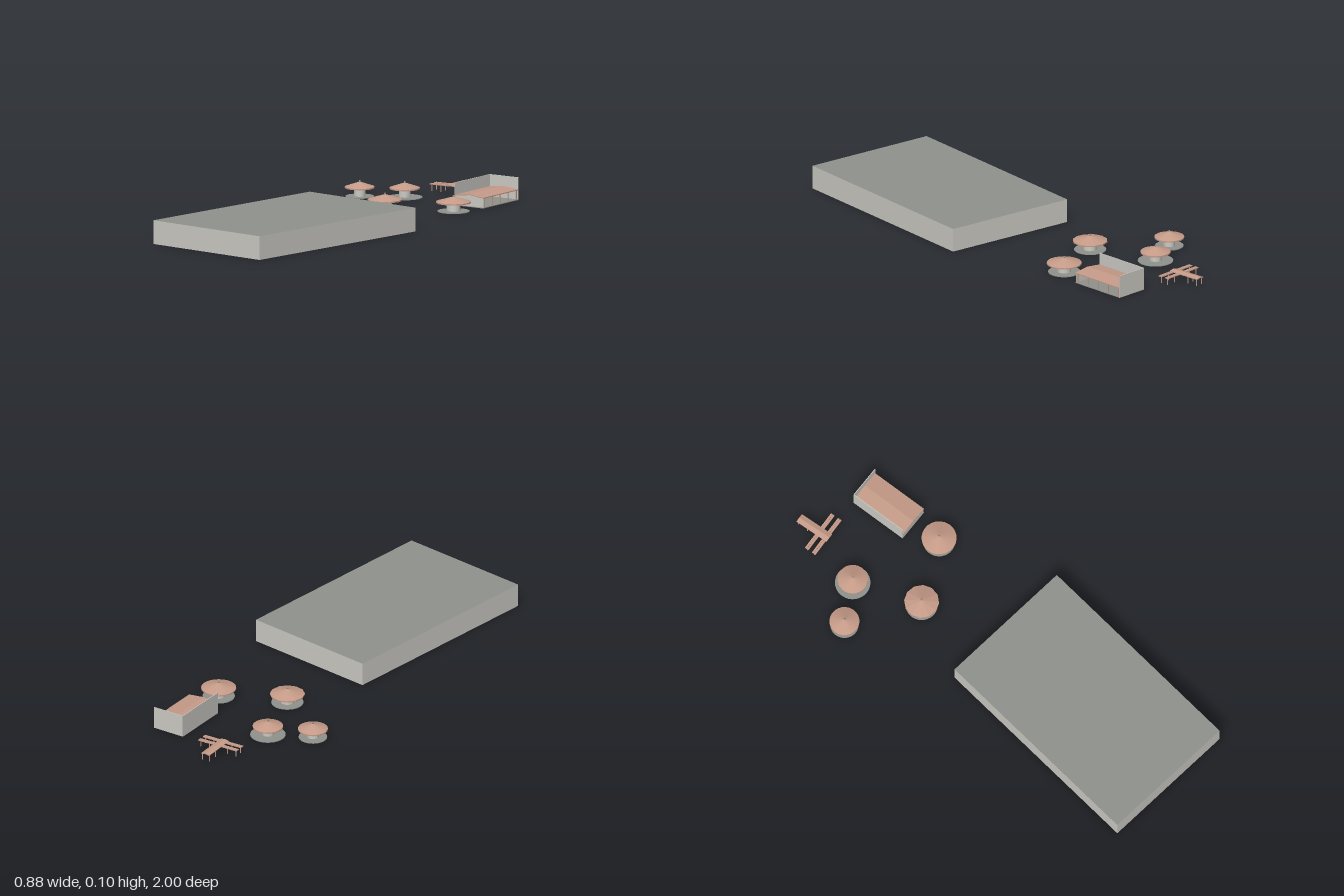
import * as THREE from 'three';

const mat = (color) => new THREE.MeshStandardMaterial({ color, side: THREE.DoubleSide, flatShading: true });
const wallMat = mat(0xcccac4);
const slabMat = mat(0x8f928d);
const tileMat = mat(0xc69b88);

function add(parent, name, geo, material, x = 0, y = 0, z = 0) {
  const m = new THREE.Mesh(geo, material);
  m.name = name;
  m.position.set(x, y, z);
  parent.add(m);
  return m;
}

const box = (p, name, material, w, h, d, x, y, z) =>
  add(p, name, new THREE.BoxGeometry(w, h, d), material, x, y, z);

function place(parent, name, x, z, angle) {
  const g = new THREE.Group();
  g.name = name;
  g.position.set(x, 0, z);
  g.rotation.y = angle;
  parent.add(g);
  return g;
}

// Shape in x/y extruded along z and centred
function prism(points, depth) {
  const s = new THREE.Shape(points.map(([x, y]) => new THREE.Vector2(x, y)));
  return new THREE.ExtrudeGeometry(s, { depth, bevelEnabled: false }).translate(0, 0, -depth / 2);
}

// Large hall: flat roof on four thin walls, open underneath
function hall(parent) {
  const g = place(parent, 'hall', 0.118, 0.488, 0.015);
  const w = 0.62, d = 1.005, h = 0.104;
  add(g, 'hallRoof', new THREE.PlaneGeometry(w, d).rotateX(-Math.PI / 2), slabMat, 0, h, 0);
  for (const s of [-1, 1]) {
    add(g, 'hallEndWall', new THREE.PlaneGeometry(w, h).rotateY(s > 0 ? 0 : Math.PI), wallMat, 0, h / 2, s * d / 2);
    add(g, 'hallSideWall', new THREE.PlaneGeometry(d, h).rotateY(s * Math.PI / 2), wallMat, s * w / 2, h / 2, 0);
  }
}

// Round kiosk: paving disc, drum and conical roof with a finial
function kiosk(parent, x, z, roofR, padR, sides) {
  const g = place(parent, 'kiosk', x, z, 0.2);
  const drumR = roofR * 0.39;
  add(g, 'paving', new THREE.CylinderGeometry(padR, padR, 0.003, 32), slabMat, 0, 0.0015, 0);
  add(g, 'drum', new THREE.CylinderGeometry(drumR, drumR, 0.037, 20), wallMat, 0, 0.0205, 0);
  const profile = [[0, 0.038], [roofR, 0.038], [roofR, 0.044], [0.004, 0.065], [0, 0.066]];
  add(g, 'kioskRoof', new THREE.LatheGeometry(profile.map(([r, y]) => new THREE.Vector2(r, y)), sides), tileMat);
  add(g, 'finial', new THREE.SphereGeometry(0.004, 10, 8), slabMat, 0, 0.069, 0);
}

// Open-sided shed with a low pitched roof and two tall screen walls
function shed(parent) {
  const g = place(parent, 'shed', 0.135, -0.772, 0.15);
  const w = 0.15, d = 0.268, hw = w / 2, hd = d / 2;
  box(g, 'shedFloor', slabMat, w, 0.003, d, 0, 0.0015, 0);
  box(g, 'tallSideWall', wallMat, 0.003, 0.1, d, -hw, 0.05, 0);
  box(g, 'tallBackWall', wallMat, w, 0.1, 0.003, 0, 0.05, -hd);
  add(g, 'frontGable', prism([[-hw, 0], [hw, 0], [hw, 0.042], [0, 0.051], [-hw, 0.042]], 0.003), wallMat, 0, 0, hd - 0.004);
  const roof = [[-hw, 0.043], [0, 0.052], [hw, 0.043], [hw, 0.047], [0, 0.056], [-hw, 0.047]];
  add(g, 'shedRoof', prism(roof, d), tileMat);
  for (let i = 0; i < 5; i++) {
    box(g, 'shedPost', tileMat, 0.004, 0.043, 0.004, hw - 0.005, 0.0215, -hd + 0.01 + i * (d - 0.02) / 4);
  }
}

// Slatted walkway on posts, built as a long stem and two cross pieces
function pergola(parent) {
  const g = place(parent, 'pergola', -0.163, -0.872, 0.19);
  const stem = [[-0.021, 0.03], [0, 0.034], [0.021, 0.03], [0.021, 0.033], [0, 0.038], [-0.021, 0.033]];
  add(g, 'stemRoof', prism(stem, 0.16), tileMat, 0, 0, -0.047);
  for (const z of [-0.12, -0.07]) {
    for (const s of [-1, 1]) box(g, 'stemPost', tileMat, 0.003, 0.031, 0.003, s * 0.017, 0.0155, z);
  }
  for (const z of [-0.018, 0.019]) {
    for (const o of [-0.005, 0.005]) box(g, 'crossSlat', tileMat, 0.195, 0.004, 0.009, 0, 0.031, z + o);
    for (const x of [-0.09, -0.045, 0.045, 0.09]) {
      box(g, 'crossPost', tileMat, 0.003, 0.03, 0.003, x, 0.015, z);
    }
  }
}

export function createModel() {
  const model = new THREE.Group();
  model.name = 'buildingSite';
  hall(model);
  kiosk(model, -0.376, -0.515, 0.065, 0.062, 24);
  kiosk(model, -0.217, -0.63, 0.066, 0.077, 24);
  kiosk(model, -0.072, -0.35, 0.076, 0.07, 12);
  kiosk(model, 0.185, -0.51, 0.076, 0.07, 24);
  shed(model);
  pergola(model);
  return model;
}
